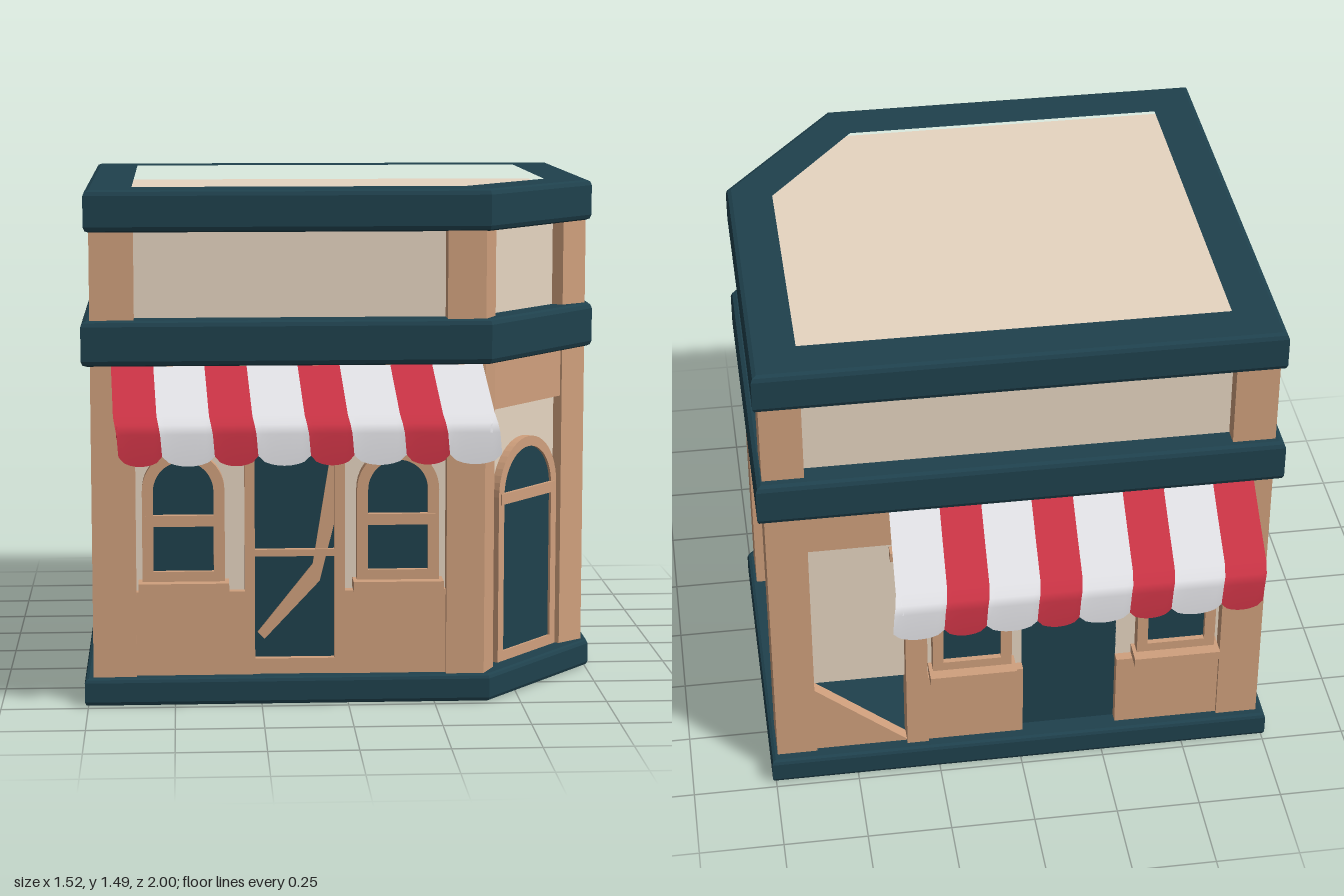
import * as THREE from 'three';

const mat = (name, color, side = THREE.FrontSide) => {
  const m = new THREE.MeshStandardMaterial({ color, side });
  m.name = name;
  return m;
};

export function createModel() {
  const teal = mat('dark teal', 0x1f414d);
  const tan = mat('tan wood', 0xd0a07d);
  const cream = mat('cream plaster', 0xe6d5c1);
  const red = mat('awning red', 0xc83344, THREE.DoubleSide);
  const white = mat('awning white', 0xdfdfe3, THREE.DoubleSide);

  const root = new THREE.Group();
  root.name = 'cornerShop';

  const add = (parent, name, geo, material) => {
    const m = new THREE.Mesh(geo, material);
    m.name = name;
    parent.add(m);
    return m;
  };
  // Box given by its limits on each axis
  const box = (parent, name, material, x0, x1, y0, y1, z0, z1) =>
    add(parent, name, new THREE.BoxGeometry(x1 - x0, y1 - y0, z1 - z0), material)
      .position.set((x0 + x1) / 2, (y0 + y1) / 2, (z0 + z1) / 2);
  const outline = (pts) => new THREE.Shape(pts.map(([x, y]) => new THREE.Vector2(x, y)));
  // Floor plan in (x, z), raised from y0 to y1
  const plan = (name, material, pts, y0, y1, bevel = 0, hole = null) => {
    const flip = (list) => list.map(([x, z]) => [x, -z]);
    const shape = outline(flip(pts));
    if (hole) shape.holes.push(outline(flip(hole)));
    const geo = new THREE.ExtrudeGeometry(shape, {
      depth: y1 - y0 - 2 * bevel, bevelEnabled: bevel > 0, bevelSegments: 2,
      bevelSize: bevel, bevelThickness: bevel, bevelOffset: -bevel,
    });
    geo.rotateX(-Math.PI / 2);
    geo.translate(0, y0 + bevel, 0);
    return add(root, name, geo, material);
  };
  // Upright plate in (x, y), centred on z
  const plate = (parent, name, material, shape, z, depth) => {
    const geo = new THREE.ExtrudeGeometry(shape, { depth, bevelEnabled: false, curveSegments: 12 });
    geo.translate(0, 0, z - depth / 2);
    return add(parent, name, geo, material);
  };
  const arch = (cx, w, y0, y1) => {
    const r = w / 2, s = new THREE.Shape();
    s.moveTo(cx - r, y0);
    s.lineTo(cx + r, y0);
    s.lineTo(cx + r, y1 - r);
    s.absarc(cx, y1 - r, r, 0, Math.PI, false);
    s.lineTo(cx - r, y0);
    return s;
  };
  const archedFrame = (parent, name, cx, w, y0, y1, z, t, railY, depth) => {
    const ring = arch(cx, w, y0, y1);
    ring.holes.push(arch(cx, w - 2 * t, y0 + t, y1 - t));
    plate(parent, name + 'Frame', tan, ring, z, depth);
    plate(parent, name + 'Glass', teal, arch(cx, w - 2 * t + 0.004, y0 + t, y1 - t), z, 0.035);
    box(parent, name + 'Rail', tan, cx - w / 2 + 0.01, cx + w / 2 - 0.01,
      railY - 0.016, railY + 0.016, z - depth / 2, z + depth / 2 + 0.004);
  };

  // Base, middle cornice and roof rim
  const foot = [[-0.76, -0.73], [0.76, -0.73], [0.76, 0.29], [0.41, 0.73], [-0.76, 0.73]];
  const rim = [[-0.75, -0.72], [0.755, -0.72], [0.755, 0.29], [0.407, 0.72], [-0.75, 0.72]];
  const inner = [[-0.63, -0.595], [0.635, -0.595], [0.635, 0.235], [0.357, 0.585], [-0.63, 0.585]];
  plan('base', teal, foot, 0, 0.08, 0.012);
  plan('middleCornice', teal, foot, 0.985, 1.115, 0.016);
  plan('roofRim', teal, rim, 1.365, 1.485, 0.016, inner);
  const under = [[-0.68, -0.65], [0.68, -0.65], [0.68, 0.26], [0.37, 0.64], [-0.68, 0.64]];
  plan('roofDeck', cream, under, 1.37, 1.435);
  plan('upperWalls', cream, under, 1.1, 1.37);

  // Corner posts
  const posts = [
    [[-0.735, 0.57], [-0.61, 0.57], [-0.61, 0.705], [-0.735, 0.705]],
    [[-0.735, -0.7], [-0.61, -0.7], [-0.61, -0.56], [-0.735, -0.56]],
    [[0.62, -0.695], [0.74, -0.695], [0.74, -0.55], [0.62, -0.55]],
    [[0.285, 0.58], [0.385, 0.58], [0.43, 0.635], [0.395, 0.71], [0.285, 0.71]],
    [[0.6, 0.14], [0.74, 0.14], [0.74, 0.275], [0.665, 0.335], [0.6, 0.29]],
  ];
  posts.forEach((p) => plan('cornerPost', tan, p, 0.07, 1.37));

  // Left side: low panel, beam and a partly open plaster wall
  box(root, 'leftLowPanel', tan, -0.7, -0.66, 0.08, 0.32, -0.57, 0.58);
  box(root, 'leftBeam', tan, -0.7, -0.65, 0.84, 0.985, -0.57, 0.58);
  const leftWall = plate(root, 'leftWall', cream,
    outline([[-0.57, 0.32], [-0.57, 0.84], [-0.28, 0.84], [0.57, 0.32]]), 0, 0.02);
  leftWall.rotation.y = -Math.PI / 2;
  leftWall.position.x = -0.67;

  // Right side: low panel and beam around the opening
  box(root, 'rightLowPanel', tan, 0.66, 0.7, 0.08, 0.32, -0.57, 0.15);
  box(root, 'rightBeam', tan, 0.65, 0.7, 0.84, 0.985, -0.57, 0.15);

  // Slanted corner with the arched entrance
  const corner = new THREE.Group();
  corner.name = 'cornerEntrance';
  corner.position.set(0.537, 0, 0.468);
  corner.rotation.y = 0.9;
  root.add(corner);
  box(corner, 'cornerWall', cream, -0.22, 0.22, 0.08, 0.85, -0.03, -0.01);
  box(corner, 'cornerBeam', tan, -0.22, 0.22, 0.84, 0.985, -0.03, 0.012);
  archedFrame(corner, 'cornerDoor', 0, 0.325, 0.085, 0.74, -0.01, 0.03, 0.57, 0.05);

  // Front (s = 1) and back (s = -1) walls, which share one layout
  for (const s of [1, -1]) {
    const side = new THREE.Group();
    side.name = s > 0 ? 'frontWall' : 'backWall';
    root.add(side);
    const slab = (name, m, x0, x1, y0, y1, za, zb) =>
      box(side, name, m, x0, x1, y0, y1, Math.min(za * s, zb * s), Math.max(za * s, zb * s));

    slab('beam', tan, -0.62, s > 0 ? 0.3 : 0.63, 0.84, 0.985, 0.63, 0.685);
    for (const [x0, x1, cx] of [[-0.62, -0.295, -0.473], [-0.01, 0.29, 0.145]]) {
      slab('plasterWall', cream, x0, x1, 0.32, 0.85, 0.64, 0.66);
      slab('lowPanel', tan, x0, x1, 0.08, 0.325, 0.64, 0.69);
      archedFrame(side, 'window', cx, 0.237, 0.355, 0.74, 0.665 * s, 0.032, 0.535, 0.07);
      slab('windowSill', tan, cx - 0.13, cx + 0.13, 0.33, 0.358, 0.65, 0.735);
    }

    // Shop door
    slab('doorGlass', teal, -0.296, -0.009, 0.08, 0.74, 0.645, 0.66);
    slab('doorTop', tan, -0.295, -0.01, 0.73, 0.85, 0.635, 0.685);
    if (s > 0) {
      slab('doorBottom', tan, -0.295, -0.01, 0.08, 0.125, 0.635, 0.685);
      slab('doorRail', tan, -0.28, -0.03, 0.425, 0.445, 0.64, 0.68);
      slab('doorJamb', tan, -0.297, -0.268, 0.08, 0.74, 0.635, 0.69);
      slab('doorJamb', tan, -0.038, -0.008, 0.08, 0.74, 0.635, 0.69);
      plate(side, 'doorBrace', tan, outline([[-0.26, 0.2], [-0.24, 0.18], [-0.08, 0.35],
        [-0.03, 0.55], [-0.03, 0.74], [-0.045, 0.74], [-0.1, 0.4]]), 0.664, 0.009);
    } else {
      // Extra bay beside the post on the back
      slab('bayPost', tan, 0.28, 0.345, 0.08, 0.985, 0.62, 0.7);
      slab('bayWall', cream, 0.34, 0.63, 0.32, 0.85, 0.64, 0.66);
      plate(side, 'bayLowPanel', tan,
        outline([[0.34, 0.08], [0.63, 0.08], [0.63, 0.32]]), -0.665, 0.04);
    }

    // Awning arms and wall bar
    slab('awningBar', tan, -0.65, 0.385, 0.8, 0.83, 0.68, 0.715);
    for (const x of [-0.62, 0.355])
      slab('awningArm', tan, x - 0.012, x + 0.012, 0.805, 0.826, 0.68, 0.99);

    // Striped cloth with a scalloped hem, as [y, z] rows from wall to hem
    const rows = [[0.985, 0.715], [0.93, 0.83], [0.875, 0.95], [0.855, 0.985], [0.83, 0.995], [0.77, 1]];
    const edge = (i) => -0.675 + 0.265 * Math.floor(i / 2) + (i % 2) * 0.12;
    for (let i = 0; i < 8; i++) {
      const geo = new THREE.PlaneGeometry(1, 1, 8, rows.length - 1);
      const p = geo.attributes.position;
      const mid = (edge(i) + edge(i + 1)) / 2, w = edge(i + 1) - edge(i);
      for (let k = 0; k < p.count; k++) {
        const r = Math.floor(k / 9), u = (k % 9) / 8;
        const hem = r === rows.length - 1 ? 0.028 * Math.sqrt(Math.sin(Math.PI * u) + 1e-9) : 0;
        p.setXYZ(k, mid + s * w * (u - 0.5) + r * 0.005, rows[r][0] - hem, rows[r][1] * s);
      }
      geo.computeVertexNormals();
      add(side, 'awningStripe', geo, i % 2 ? white : red);
    }

    // Folded cloth edge at both ends of the awning
    const slope = rows.slice(0, 5);
    const fold = outline([...slope.map(([y, z]) => [-z * s, y]),
      ...slope.map(([y, z]) => [-(z - 0.004) * s, y - 0.008]).reverse()]);
    for (const [x, m] of [[edge(0) + 0.022, red], [edge(8) - 0.004, white]]) {
      const end = plate(side, 'awningEnd', m, fold, 0, 0.006);
      end.rotation.y = Math.PI / 2;
      end.position.x = x;
    }
  }
  return root;
}
